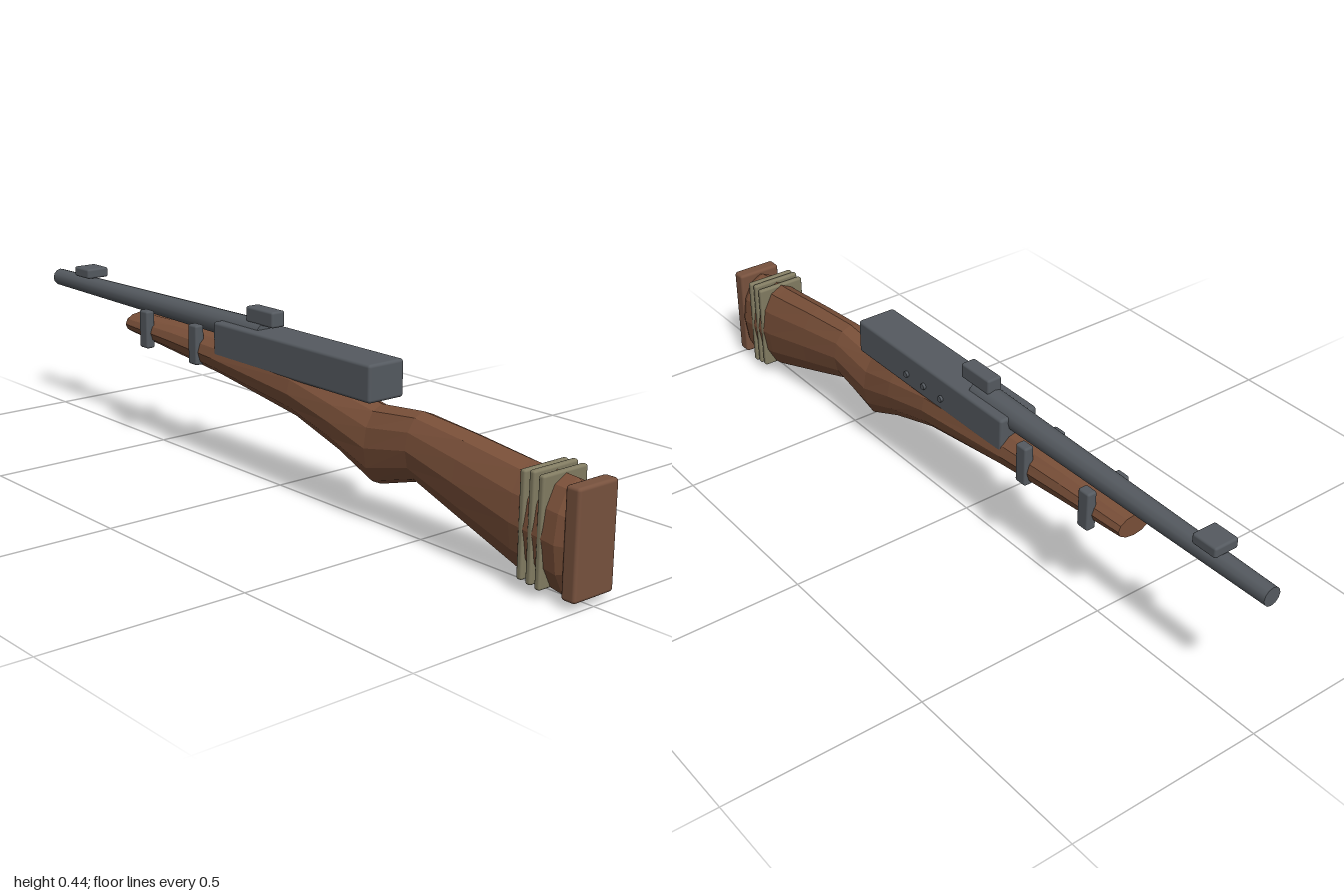
import * as THREE from 'three';
import { RoundedBoxGeometry } from 'three/addons/geometries/RoundedBoxGeometry.js';

const mat = (name, color, flatShading = false) => {
  const m = new THREE.MeshStandardMaterial({ color, flatShading });
  m.name = name;
  return m;
};

// Faceted body lofted along x from elliptical sections [x, top, bottom, halfWidth]
function loft(sections, sides) {
  const pos = [], index = [];
  for (const [x, top, bottom, w] of sections) {
    for (let i = 0; i < sides; i++) {
      const a = (i / sides) * Math.PI * 2;
      pos.push(x, (top + bottom) / 2 + Math.cos(a) * (top - bottom) / 2, Math.sin(a) * w);
    }
  }
  const last = (sections.length - 1) * sides;
  for (let s = 0; s < sections.length - 1; s++) {
    for (let i = 0; i < sides; i++) {
      const a = s * sides + i, b = s * sides + (i + 1) % sides;
      index.push(a, b, a + sides, b, b + sides, a + sides);
    }
  }
  // end caps
  for (let i = 1; i < sides - 1; i++) {
    index.push(0, i + 1, i, last, last + i, last + i + 1);
  }
  const g = new THREE.BufferGeometry();
  g.setAttribute('position', new THREE.Float32BufferAttribute(pos, 3));
  g.setIndex(index);
  const flat = g.toNonIndexed();
  flat.computeVertexNormals();
  return flat;
}

export function createModel() {
  const group = new THREE.Group();
  const wood = mat('wood', 0x7a5039, true);
  const buttWood = mat('butt wood', 0x78523e);
  const metal = mat('gunmetal', 0x555a60);
  const cord = mat('cord', 0x827c62);

  const add = (name, geometry, material) => {
    const mesh = new THREE.Mesh(geometry, material);
    mesh.name = name;
    group.add(mesh);
    return mesh;
  };
  // Rounded box given by its extents
  const box = (name, material, [x0, x1], [y0, y1], [z0, z1], r = 0.006) => {
    const mesh = add(name, new RoundedBoxGeometry(x1 - x0, y1 - y0, z1 - z0, 2, r), material);
    mesh.position.set((x0 + x1) / 2, (y0 + y1) / 2, (z0 + z1) / 2);
    return mesh;
  };

  // Stock: forend, grip and butt in one faceted body
  add('stock', loft([
    [-0.6, 0.34, 0.285, 0.046],
    [-0.4, 0.345, 0.265, 0.051],
    [-0.2, 0.345, 0.245, 0.057],
    [0.1, 0.335, 0.2, 0.062],
    [0.25, 0.31, 0.152, 0.06],
    [0.365, 0.29, 0.1, 0.055],
    [0.5, 0.302, 0.14, 0.055],
    [0.65, 0.289, 0.086, 0.06],
    [0.82, 0.27, 0.026, 0.066],
    [0.945, 0.262, 0.003, 0.067],
    [0.968, 0.25, 0.016, 0.058],
  ], 12), wood);
  box('buttPlate', buttWood, [0.962, 1], [0.02, 0.264], [-0.06, 0.06], 0.008);

  // Barrel, tapering towards the muzzle
  const barrel = add('barrel', new THREE.CylinderGeometry(0.034, 0.023, 0.95, 12), metal);
  barrel.rotation.z = -Math.PI / 2;
  barrel.position.set(-0.525, 0.376, 0);

  box('receiver', metal, [-0.2, 0.38], [0.3, 0.39], [-0.053, 0.053], 0.008);
  box('frontSight', metal, [-0.87, -0.8], [0.402, 0.429], [-0.033, 0.033]);
  box('rearSight', metal, [-0.11, -0.005], [0.4, 0.44], [-0.02, 0.02]);

  // Straps joining barrel and forend, one on each side
  for (const [x, y0] of [[-0.497, 0.268], [-0.28, 0.265]]) {
    for (const s of [-1, 1]) {
      const z = s * 0.047;
      box('barrelBand', metal, [x - 0.018, x + 0.018], [y0, 0.368], [z - 0.013, z + 0.013]);
    }
  }

  // Screws on the far side of the receiver
  for (const x of [0.03, 0.1, 0.17]) {
    const screw = add('receiverScrew', new THREE.CylinderGeometry(0.008, 0.008, 0.012, 10), metal);
    screw.rotation.x = Math.PI / 2;
    screw.position.set(x, 0.335, -0.054);
  }

  // Cord wrapped around the butt
  for (const [i, x] of [0.855, 0.88, 0.905].entries()) {
    box('cordWrap', cord, [x - 0.008, x + 0.008],
      [0.032 - i * 0.004, 0.27 + (i === 1 ? 0.004 : 0)], [-0.067, 0.067]);
  }
  return group;
}
